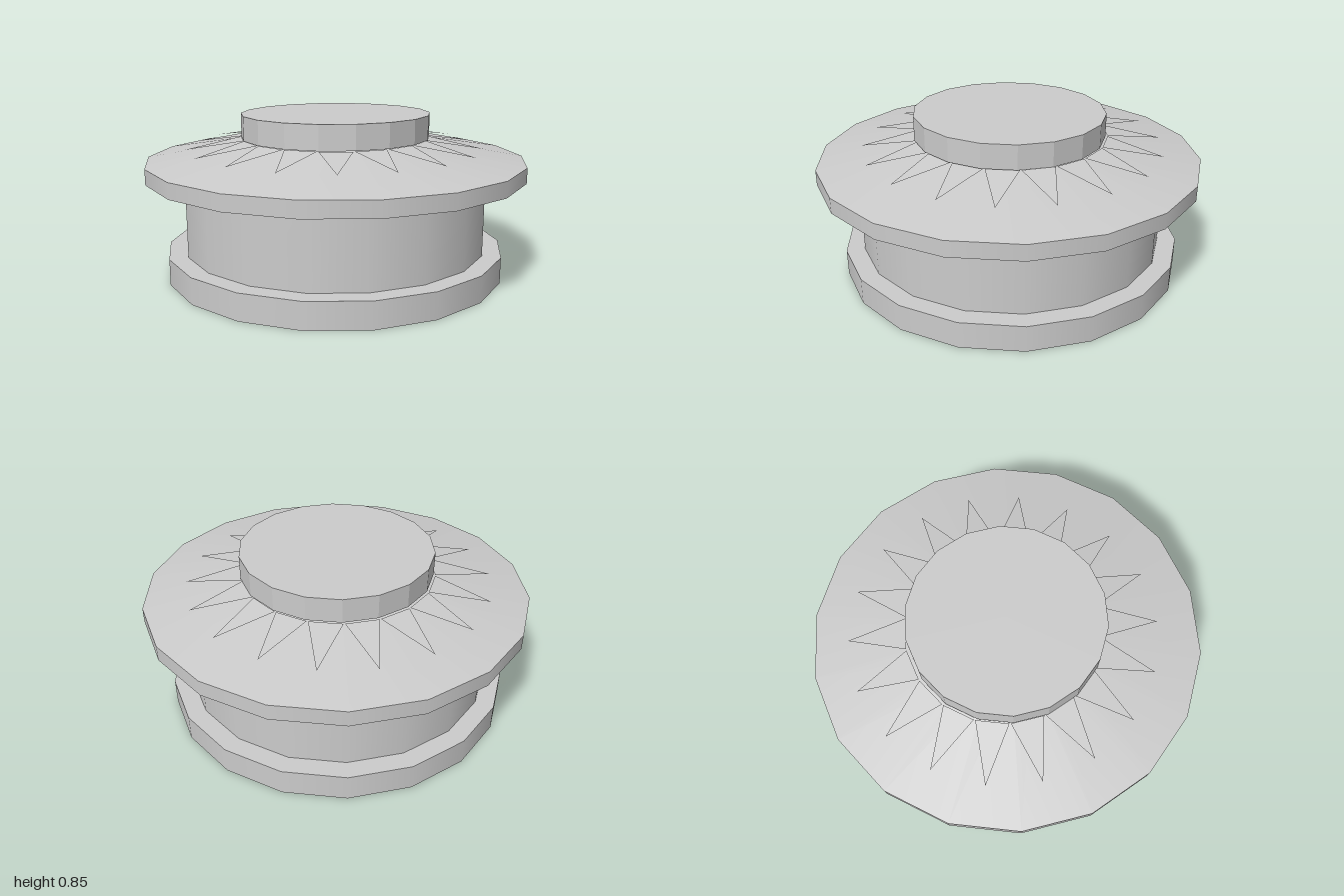
import * as THREE from 'three';

const SIDES = 18;
const grey = new THREE.MeshStandardMaterial({ color: 0xcccccc });
const flatGrey = new THREE.MeshStandardMaterial({ color: 0xcccccc, flatShading: true });
const thinGrey = new THREE.MeshStandardMaterial({ color: 0xcccccc, flatShading: true, side: THREE.DoubleSide });

// Eighteen-sided disc between two heights, with a corner on the x axis
function disc(name, rTop, rBottom, y0, y1, z, material = grey, openEnded = false) {
  const geo = new THREE.CylinderGeometry(rTop, rBottom, y1 - y0, SIDES, 1, openEnded, Math.PI / 2);
  const mesh = new THREE.Mesh(geo, material);
  mesh.name = name;
  mesh.position.set(0, (y0 + y1) / 2, z);
  return mesh;
}

// Thin triangular ray sloping outward from under the cap
function rayGeometry() {
  const geo = new THREE.BufferGeometry();
  geo.setAttribute('position', new THREE.Float32BufferAttribute([
    -0.083, 0.722, 0.49, 0.083, 0.722, 0.49, 0, 0.672, 0.79,
  ], 3));
  geo.setIndex([0, 2, 1]);
  geo.computeVertexNormals();
  return geo;
}

export function createModel() {
  const model = new THREE.Group();
  model.name = 'roundButton';

  // Foot and drum
  model.add(disc('foot', 0.902, 0.902, 0, 0.137, -0.013));
  model.add(disc('drum', 0.805, 0.805, 0.137, 0.54, -0.013));

  // Overhanging rim with its shallow sloping top
  model.add(disc('rim', 1, 1, 0.535, 0.615, 0));
  model.add(disc('slopingTop', 0.3, 1, 0.615, 0.734, 0));

  // Faceted cap, tipped very slightly back
  const cap = disc('cap', 0.5, 0.5, 0.724, 0.85, -0.003, flatGrey);
  cap.rotation.x = -0.008 * -1 - 0.016;
  cap.rotation.x *= 1;
  model.add(cap);

  // Ring of rays around the cap
  const rays = new THREE.Group();
  rays.name = 'rays';
  rays.position.z = -0.02;
  const geo = rayGeometry();
  // Corners run base-left, tip, base-right; the sheet is double sided
  for (let i = 0; i < SIDES; i++) {
    const ray = new THREE.Mesh(geo, thinGrey);
    ray.name = 'ray';
    ray.rotation.y = (i / SIDES) * Math.PI * 2;
    rays.add(ray);
  }
  model.add(rays);

  return model;
}
